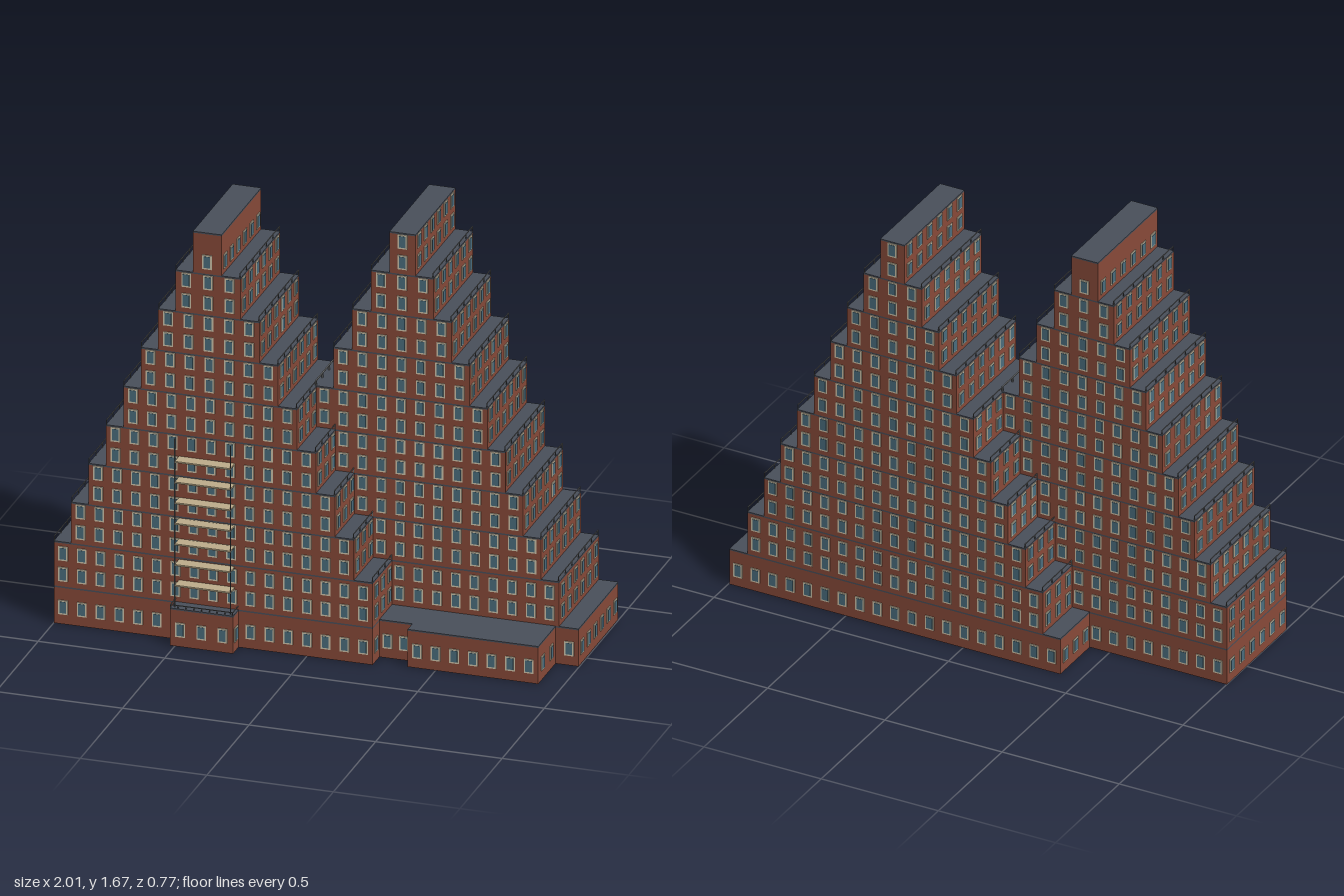
import * as THREE from 'three';
import { mergeGeometries } from 'three/addons/utils/BufferGeometryUtils.js';

const mat = (color) => new THREE.MeshStandardMaterial({ color });
const BRICK = mat(0x8a4b3a), ROOF = mat(0x4a505b), FRAME = mat(0xd2c8ae);
const GLASS = mat(0x4c6f80), RAIL = mat(0x6d6f70), DECK = mat(0xbfae8c);

const ROOF_T = 0.006;      // roof slab thickness
const BASE_H = 0.153;      // ground floor height
const TIERS = 9;
const FLOOR = 0.0837;
const BASE_ROW = 0.0685;   // height of the ground floor windows
const tierTop = (t) => 0.335 + t * 2 * FLOOR;

// box from its minimum and maximum corners
function box(x0, x1, y0, y1, z0, z1) {
  return new THREE.BoxGeometry(x1 - x0, y1 - y0, z1 - z0)
    .translate((x0 + x1) / 2, (y0 + y1) / 2, (z0 + z1) / 2);
}

// box around a centre
const bar = (x, y, z, w, h, d) => new THREE.BoxGeometry(w, h, d).translate(x, y, z);

// block: extents, window rows (heights), window count along x and z
function block(x0, x1, y0, y1, z0, z1, rows, nx, nz) {
  return { x0, x1, y0, y1, z0, z1, rows, nx, nz };
}

// stepped tower: a ground floor and nine tiers of two floors each
function towerBlocks(base, lefts, rights, z0, z1, baseCount, blankTop) {
  const blocks = [block(base[0], base[1], 0, BASE_H, z0, z1, [BASE_ROW], baseCount, 6)];
  for (let t = 0; t < TIERS; t++) {
    const top = tierTop(t);
    let rows = t === 0 ? [0.2035, 0.288] : [top - 0.119, top - 0.035];
    if (blankTop && t === TIERS - 1) rows = [rows[0]];
    const y0 = t === 0 ? BASE_H : tierTop(t - 1);
    blocks.push(block(lefts[t], rights[t], y0, top, z0, z1, rows, 2 * (TIERS - 1 - t) + 1, 6));
  }
  return blocks;
}

function createPart(name, blocks, solids) {
  const group = new THREE.Group();
  group.name = name;
  const walls = [], roofs = [], frames = [], panes = [];
  const buried = (x, y, z) => solids.some((s) =>
    x > s.x0 && x < s.x1 && y > s.y0 && y < s.y1 && z > s.z0 && z < s.z1);

  // one window facing along x or z
  const addWindow = (x, y, z, dx, dz) => {
    if (buried(x + dx * 0.01, y, z + dz * 0.01)) return;
    const size = (w, h, d) => (dx ? bar(x, y, z, d, h, w) : bar(x, y, z, w, h, d));
    frames.push(size(0.038, 0.058, 0.007));
    panes.push(size(0.026, 0.046, 0.01));
  };

  for (const b of blocks) {
    walls.push(box(b.x0, b.x1, b.y0, b.y1 - ROOF_T, b.z0, b.z1));
    roofs.push(box(b.x0, b.x1, b.y1 - ROOF_T, b.y1, b.z0, b.z1));
    for (const y of b.rows) {
      for (let i = 0; i < b.nx; i++) {
        const x = b.x0 + ((b.x1 - b.x0) * (i + 0.5)) / b.nx;
        addWindow(x, y, b.z1, 0, 1);
        addWindow(x, y, b.z0, 0, -1);
      }
      for (let i = 0; i < b.nz; i++) {
        const z = b.z0 + ((b.z1 - b.z0) * (i + 0.5)) / b.nz;
        addWindow(b.x1, y, z, 1, 0);
        addWindow(b.x0, y, z, -1, 0);
      }
    }
  }
  addMesh(group, 'walls', walls, BRICK);
  addMesh(group, 'roofs', roofs, ROOF);
  addMesh(group, 'windowFrames', frames, FRAME);
  addMesh(group, 'windowPanes', panes, GLASS);
  return group;
}

function addMesh(group, name, geometries, material) {
  if (!geometries.length) return;
  const mesh = new THREE.Mesh(mergeGeometries(geometries), material);
  mesh.name = name;
  group.add(mesh);
}

// thin railings along the outer edges of the terraces
function addTerraceRails(group, blocks, solids) {
  const parts = [];
  blocks.slice(1, TIERS).forEach((b) => {
    for (const [x, s] of [[b.x0, -1], [b.x1, 1]]) {
      const px = x - s * 0.002;
      // keep only the stretch that is not inside a neighbouring block
      let z0 = b.z0, z1 = b.z1;
      for (const o of solids) {
        if (px <= o.x0 || px >= o.x1 || b.y1 + 0.01 <= o.y0 || b.y1 + 0.01 >= o.y1) continue;
        if (o.z1 < z1) z0 = Math.max(z0, o.z1);
        if (o.z0 > z0) z1 = Math.min(z1, o.z0);
      }
      if (z1 - z0 < 0.02) continue;
      parts.push(box(px - 0.0015, px + 0.0015, b.y1 + 0.018, b.y1 + 0.021, z0, z1));
      const n = Math.max(2, Math.round((z1 - z0) / 0.078));
      for (let i = 0; i <= n; i++) {
        const z = z0 + 0.0015 + ((z1 - z0 - 0.003) * i) / n;
        parts.push(bar(px, b.y1 + 0.01, z, 0.003, 0.02, 0.003));
      }
    }
  });
  addMesh(group, 'terraceRails', parts, RAIL);
}

// stack of open balconies above the porch
function createBalconies() {
  const group = new THREE.Group();
  group.name = 'balconies';
  const x0 = -0.505, x1 = -0.285, z0 = 0.315, z1 = 0.367;
  const decks = [], rails = [];
  for (let i = 0; i < 7; i++) {
    const y = 0.24 + i * 0.0842;
    decks.push(box(x0, x1, y - 0.003, y + 0.003, z0, z1));
  }
  for (const x of [x0, x1]) rails.push(box(x - 0.002, x + 0.002, BASE_H, 0.84, z1 - 0.004, z1));
  // low guard around the porch roof
  const gy = BASE_H + 0.013;
  rails.push(bar(-0.395, gy, 0.378, 0.25, 0.003, 0.003));
  for (const x of [-0.518, -0.272]) rails.push(bar(x, gy, 0.347, 0.003, 0.003, 0.064));
  for (let i = 0; i <= 8; i++) {
    rails.push(bar(-0.518 + (0.246 * i) / 8, BASE_H + 0.006, 0.378, 0.003, 0.013, 0.003));
  }
  addMesh(group, 'decks', decks, DECK);
  addMesh(group, 'postsAndGuard', rails, RAIL);
  return group;
}

export function createModel() {
  const model = new THREE.Group();
  model.name = 'steppedApartmentBuilding';
  const steps = (from, to) => Array.from({ length: TIERS },
    (_, t) => from + ((to - from) * t) / (TIERS - 1));

  const rightTower = towerBlocks([-1, 0.26], steps(-1, -0.45), steps(0.26, -0.337),
    -0.155, 0.315, 17, true);
  const leftTower = towerBlocks([-0.415, 0.997], steps(-0.34, 0.25), steps(0.92, 0.353),
    -0.385, 0.085, 19, false);
  const annex = [
    block(0.26, 0.39, 0, BASE_H, 0.085, 0.235, [BASE_ROW], 2, 0),
    block(0.39, 0.906, 0, BASE_H, 0.085, 0.29, [BASE_ROW], 7, 2),
  ];
  const porch = [block(-0.52, -0.27, 0, BASE_H, 0.315, 0.38, [BASE_ROW], 3, 1)];
  const solids = [...rightTower, ...leftTower, ...annex, ...porch];

  for (const [name, blocks] of Object.entries({ rightTower, leftTower, annex, porch })) {
    const part = createPart(name, blocks, solids);
    if (blocks.length > TIERS) addTerraceRails(part, blocks, solids);
    model.add(part);
  }
  model.add(createBalconies());
  return model;
}
